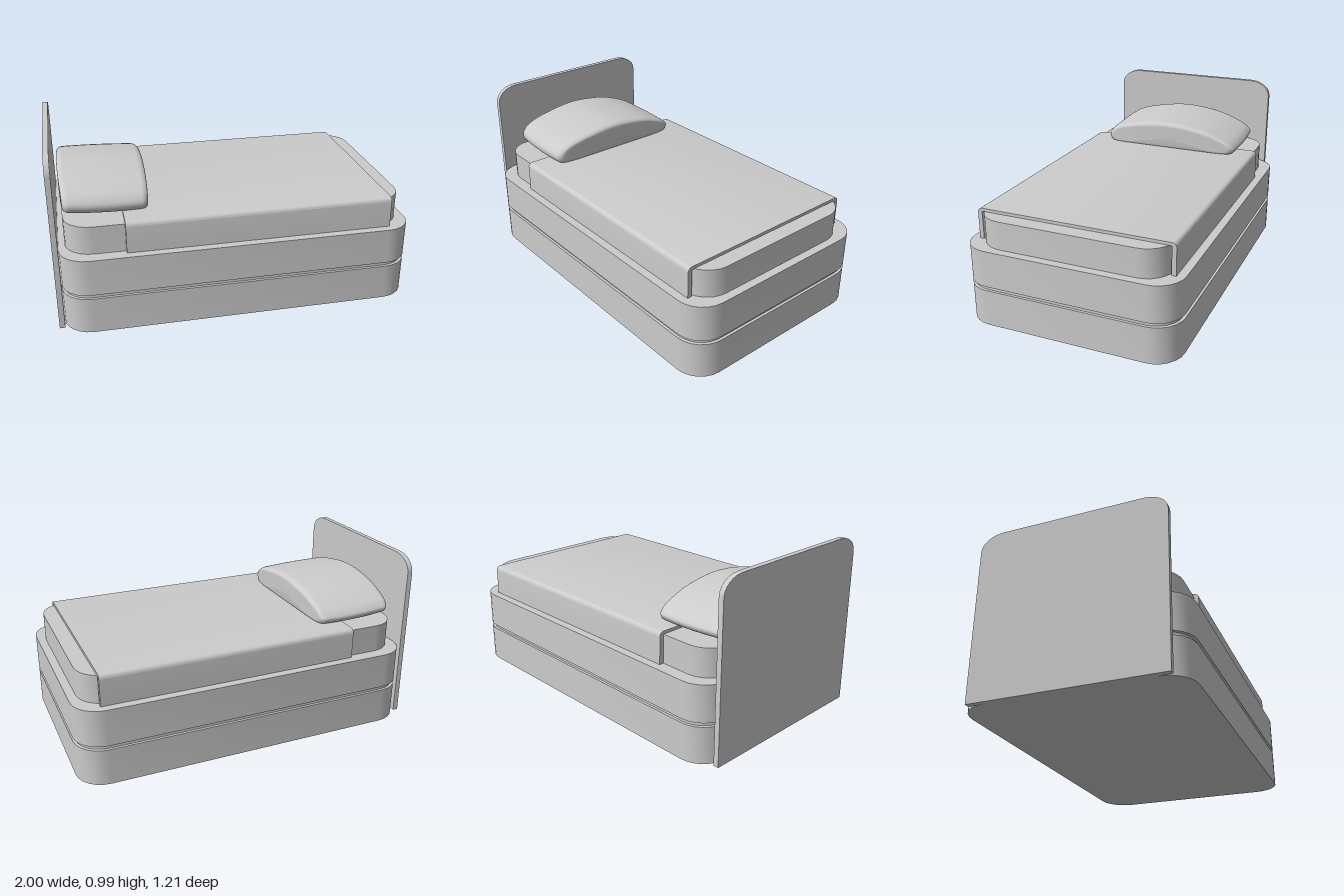
import * as THREE from 'three';
import { toCreasedNormals } from 'three/addons/utils/BufferGeometryUtils.js';

const material = new THREE.MeshStandardMaterial({ color: 0xcccccc });

function addPart(group, name, geometry) {
  const mesh = new THREE.Mesh(geometry, material);
  mesh.name = name;
  group.add(mesh);
}

function extrude(shape, depth, curveSegments) {
  return new THREE.ExtrudeGeometry(shape, { depth, curveSegments, bevelEnabled: false });
}

// Horizontal slab with rounded corners, from y0 to y1
function slab(x0, x1, halfZ, r, y0, y1) {
  const s = new THREE.Shape();
  s.absarc(x1 - r, halfZ - r, r, 0, Math.PI / 2);
  s.absarc(x0 + r, halfZ - r, r, Math.PI / 2, Math.PI);
  s.absarc(x0 + r, -halfZ + r, r, Math.PI, Math.PI * 1.5);
  s.absarc(x1 - r, -halfZ + r, r, Math.PI * 1.5, Math.PI * 2);
  const geo = extrude(s, y1 - y0, 3).rotateX(-Math.PI / 2).translate(0, y0, 0);
  return toCreasedNormals(geo, 0.7);
}

// Upright profile with rounded top corners, drawn in z and y
function archPath(path, half, y0, y1, rz, ry) {
  path.moveTo(-half, y0);
  path.lineTo(half, y0);
  path.absellipse(half - rz, y1 - ry, rz, ry, 0, Math.PI / 2);
  path.absellipse(-half + rz, y1 - ry, rz, ry, Math.PI / 2, Math.PI);
  path.lineTo(-half, y0);
  return path;
}

// Run an upright profile along x
function alongX(shape, x0, x1, segments) {
  const geo = extrude(shape, x1 - x0, segments).rotateY(Math.PI / 2).translate(x0, 0, 0);
  return toCreasedNormals(geo, 0.7);
}

// Thin cover folded over both long sides of the mattress
function blanketShape() {
  const s = new THREE.Shape();
  s.moveTo(0.535, 0.437);
  s.lineTo(0.56, 0.437);
  s.absarc(0.535, 0.588, 0.025, 0, Math.PI / 2);
  s.absarc(-0.535, 0.588, 0.025, Math.PI / 2, Math.PI);
  s.lineTo(-0.56, 0.437);
  s.lineTo(-0.535, 0.437);
  s.lineTo(-0.535, 0.595);
  s.lineTo(0.535, 0.595);
  s.closePath();
  return s;
}

// Arched pillow: one cross-section lofted along x with rounded, closed ends
function pillowGeometry() {
  const outline = [
    [0.3, 0.605], [0.37, 0.606], [0.41, 0.615], [0.43, 0.645], [0.423, 0.678], [0.38, 0.718],
    [0.28, 0.752], [0.1, 0.784], [-0.05, 0.787], [-0.24, 0.757], [-0.39, 0.7],
    [-0.44, 0.663], [-0.448, 0.638], [-0.425, 0.613], [-0.38, 0.606], [-0.32, 0.605],
  ];
  const profile = new THREE.SplineCurve(outline.map(([z, y]) => new THREE.Vector2(z, y))).getPoints(60);
  const n = profile.length, cx = -0.7025, cy = 0.69, cz = -0.01, hx = 0.2425, r = 0.035;

  // Stations: position along x, inset from the outline, scale of the cap
  const half = [[0.06, 0, 1], [0.13, 0, 1]];
  for (let i = 0; i <= 5; i++) {
    const a = (i / 5) * Math.PI / 2;
    half.push([hx - r + r * Math.sin(a), r * (1 - Math.cos(a)), 1]);
  }
  half.push([hx, r, 0.9], [hx, r, 0.5], [hx, r, 0]);
  const stations = [...half.map(([x, d, k]) => [-x, d, k]).reverse(), [0, 0, 1], ...half];

  const pos = [], index = [];
  stations.forEach(([x, inset, k], i) => {
    const s = x / hx;
    const scaleZ = k * (1 - inset / 0.44) * (1 - 0.025 * s * s);
    const scaleY = k * (1 - inset * 0.6 / 0.09) * (1 - 0.06 * s * s);
    profile.forEach((p, j) => {
      const z = (p.x - cz) * scaleZ;
      const bulge = 1 - 0.07 * (z / 0.44) ** 2;
      pos.push(cx + x * bulge, cy + (p.y - cy) * scaleY - 0.008 * s, cz + z);
      if (i === stations.length - 1) return;
      const j2 = (j + 1) % n;
      const a = i * n + j, b = i * n + j2, c = a + n, d = b + n;
      index.push(a, c, b, b, c, d);
    });
  });
  const geo = new THREE.BufferGeometry();
  geo.setAttribute('position', new THREE.Float32BufferAttribute(pos, 3));
  geo.setIndex(index);
  geo.computeVertexNormals();
  return geo;
}

export function createModel() {
  const group = new THREE.Group();
  group.name = 'bed';

  // Two-tier base with a recessed groove between the tiers
  addPart(group, 'lowerBase', slab(-0.97, 1, 0.607, 0.155, 0, 0.207));
  addPart(group, 'baseGroove', slab(-0.955, 0.985, 0.592, 0.145, 0.207, 0.23));
  addPart(group, 'upperBase', slab(-0.97, 1, 0.607, 0.155, 0.23, 0.437));

  // Bedding
  addPart(group, 'mattress', slab(-0.935, 0.953, 0.534, 0.15, 0.437, 0.596));
  addPart(group, 'blanket', alongX(blanketShape(), -0.615, 0.865, 5));
  addPart(group, 'pillow', pillowGeometry());

  // Headboard
  const board = archPath(new THREE.Shape(), 0.533, 0, 0.985, 0.13, 0.095);
  addPart(group, 'headboard', alongX(board, -1, -0.97, 3));
  return group;
}
